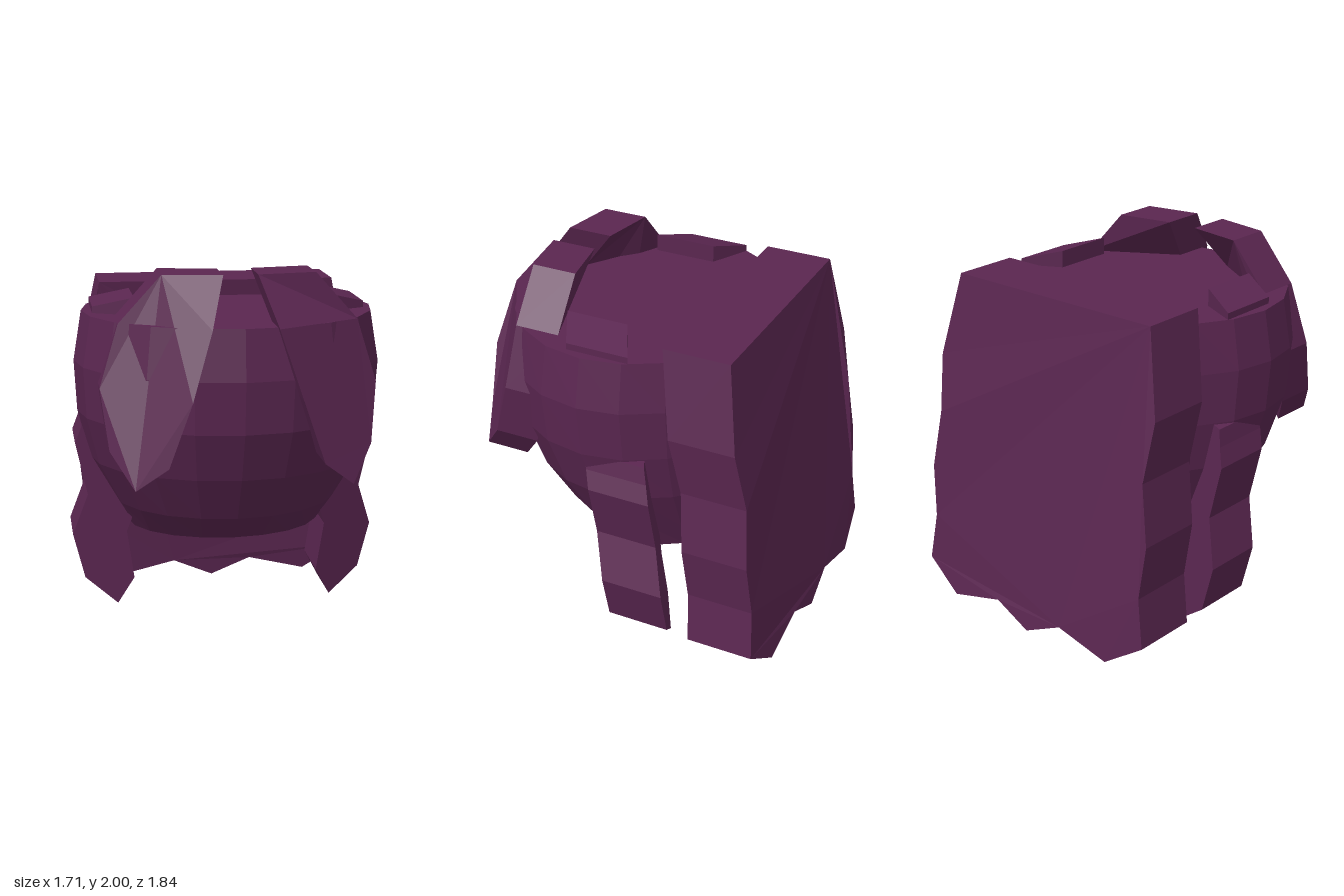
import * as THREE from 'three';

const hair = new THREE.MeshStandardMaterial({ color: 0x5a2650, flatShading: true });
hair.name = 'plum hair';

function meshFrom(name, positions, index) {
  const indexed = new THREE.BufferGeometry();
  indexed.setAttribute('position', new THREE.Float32BufferAttribute(positions, 3));
  indexed.setIndex(index);
  const geometry = indexed.toNonIndexed();
  geometry.computeVertexNormals();
  const mesh = new THREE.Mesh(geometry, hair);
  mesh.name = name;
  return mesh;
}

// Thick lock: outline points [x, y, front z] pushed back by a depth
function lock(name, outline, depth, side = 1) {
  let pts = outline.map(([x, y, z]) => [x * side, y, z]);
  if (THREE.ShapeUtils.isClockWise(pts.map(p => new THREE.Vector2(p[0], p[1])))) pts.reverse();
  const n = pts.length;
  const faces = THREE.ShapeUtils.triangulateShape(pts.map(p => new THREE.Vector2(p[0], p[1])), []);
  const positions = [...pts, ...pts.map(([x, y, z]) => [x, y, z - depth])].flat();
  const index = [];
  for (const [a, b, c] of faces) index.push(a, b, c, n + a, n + c, n + b);
  for (let i = 0; i < n; i++) {
    const j = (i + 1) % n;
    index.push(i, n + i, n + j, i, n + j, j);
  }
  return meshFrom(name, positions, index);
}

// Rounded cap from elliptical rings: y, half width, front z, back z
function cap() {
  const rings = [
    [1.75, 0.79, 0.81, -0.60], [1.48, 0.835, 0.84, -0.62], [1.20, 0.82, 0.81, -0.62],
    [0.93, 0.75, 0.70, -0.60], [0.68, 0.62, 0.55, -0.56], [0.52, 0.54, 0.37, -0.50],
  ];
  const seg = 20, positions = [], index = [];
  for (const [y, w, f, b] of rings) {
    for (let i = 0; i < seg; i++) {
      const t = (i / seg) * Math.PI * 2;
      positions.push(w * Math.sin(t), y, (f + b) / 2 + ((f - b) / 2) * Math.cos(t));
    }
  }
  const top = positions.length / 3, bottom = top + 1, last = (rings.length - 1) * seg;
  positions.push(0, 1.75, 0.1, 0, 0.39, -0.05);
  for (let i = 0; i < seg; i++) {
    const j = (i + 1) % seg;
    index.push(top, i, j, bottom, last + j, last + i);
    for (let r = 0; r < last; r += seg) {
      index.push(r + i, r + seg + i, r + seg + j, r + i, r + seg + j, r + j);
    }
  }
  return meshFrom('hairCap', positions, index);
}

// Wide back curtain with wavy sides and a jagged hem
function backHair() {
  const half = [
    [0.665, 1.84, -0.30], [0.76, 1.38, -0.375], [0.73, 1.06, -0.435], [0.78, 0.73, -0.465],
    [0.75, 0.44, -0.49], [0.79, 0.17, -0.51], [0.56, 0.02, -0.54], [0.23, 0.10, -0.535],
  ];
  const mirrored = half.map(([x, y, z]) => [-x, y, z]).reverse();
  return lock('backHair', [...half, [0, 0, -0.55], ...mirrored], 0.37);
}

// Wavy lock hanging beside the face, turned slightly outward
const sideOutline = [
  [0.62, 1.20], [0.78, 1.19], [0.80, 1.10], [0.835, 1.0], [0.77, 0.70], [0.855, 0.45],
  [0.79, 0.19], [0.61, 0.05], [0.52, 0.22], [0.56, 0.50], [0.50, 0.68], [0.56, 0.95],
].map(([x, y]) => [x, y, 0.08 - 0.13 * (1.1 - y) + 0.45 * (0.8 - x)]);

// Pointed fringe lock, inner edge furthest forward
const fringeOutline = [
  [0.09, 2.0, 0.64], [0.17, 1.75, 0.84], [0.28, 1.40, 0.92], [0.40, 1.06, 0.90], [0.565, 0.93, 0.83],
  [0.685, 1.11, 0.69], [0.725, 1.42, 0.595], [0.625, 1.75, 0.57], [0.40, 2.0, 0.585],
];

// Sloped tuft lying on the crown
const tuftOutline = [
  [0.52, 1.70, 0.32], [0.735, 1.70, 0.21], [0.735, 1.785, 0.21], [0.52, 1.845, 0.32],
];

export function createModel() {
  const group = new THREE.Group();
  group.name = 'hair';
  group.add(cap(), backHair());
  for (const [label, side] of [['left', 1], ['right', -1]]) {
    group.add(
      lock(label + 'SideLock', sideOutline, 0.35, side),
      lock(label + 'FringeLock', fringeOutline, 0.25, side),
      lock(label + 'CrownTuft', tuftOutline, 0.35, side),
    );
  }
  return group;
}
